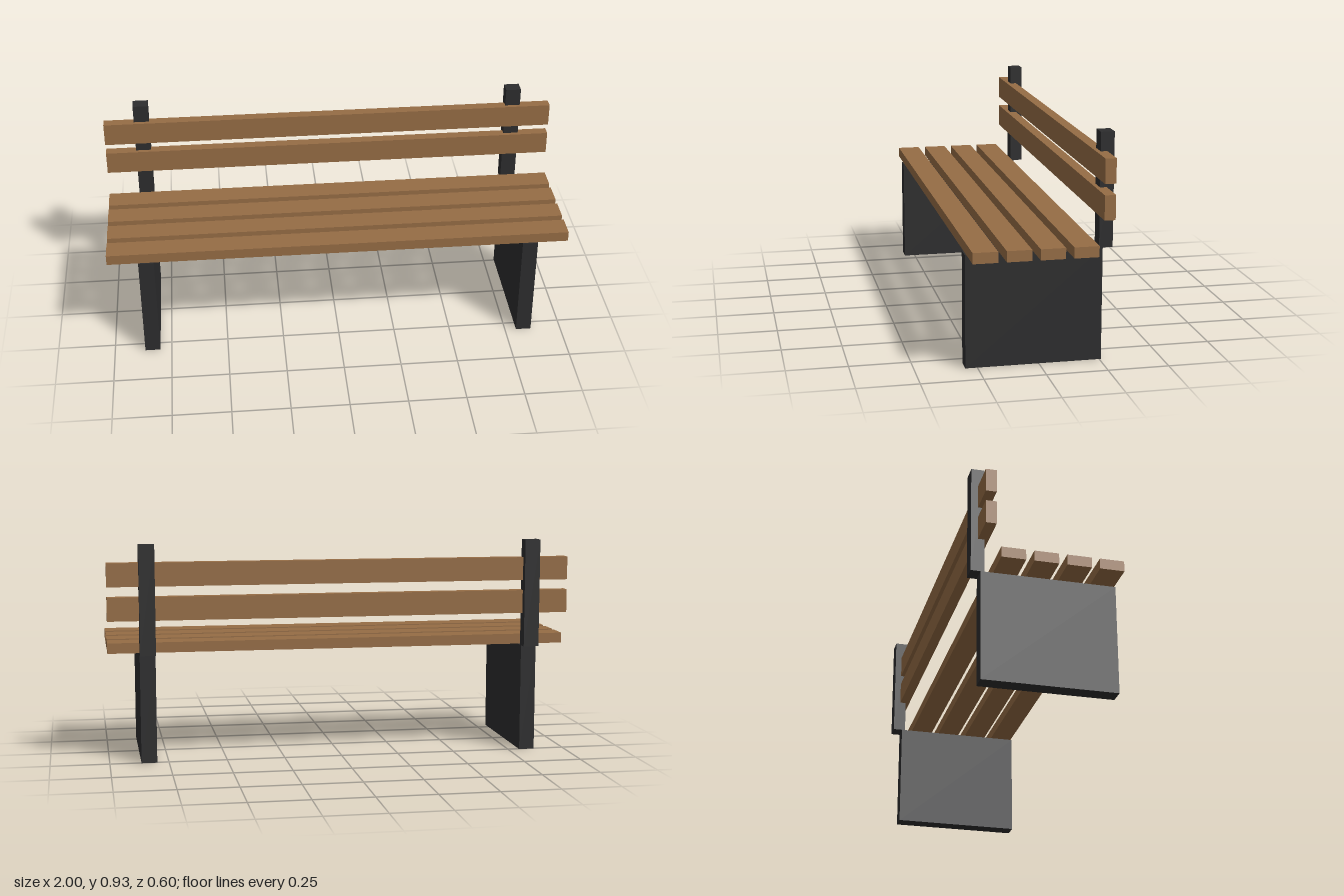
import * as THREE from 'three';

export function createModel() {
  const bench = new THREE.Group();
  bench.name = 'bench';

  const wood = new THREE.MeshStandardMaterial({ color: 0x966d45 });
  wood.name = 'wood';
  const iron = new THREE.MeshStandardMaterial({ color: 0x2d2d2e });
  iron.name = 'dark iron';

  function box(name, material, size, position) {
    const mesh = new THREE.Mesh(new THREE.BoxGeometry(...size), material);
    mesh.name = name;
    mesh.position.set(...position);
    bench.add(mesh);
  }

  const seatHeight = 0.4667;
  const slatWidth = 0.1;
  const slatThickness = 0.0444;

  // Solid side legs with a back post standing on each
  for (const [side, x] of [['left', 0.8333], ['right', -0.8333]]) {
    box(`${side}Leg`, iron, [0.0667, seatHeight, 0.5556], [x, seatHeight / 2, 0.021]);
    box(`${side}BackPost`, iron, [0.0667, seatHeight, 0.0556], [x, seatHeight * 1.5, -0.2695]);
  }

  // Four seat slats, front to back
  for (let i = 0; i < 4; i++) {
    box(`seatSlat${i + 1}`, wood, [2, slatThickness, slatWidth],
      [0, seatHeight + slatThickness / 2, 0.243 - i * 0.1333]);
  }

  // Two backrest slats, let into the front of the posts
  for (let i = 0; i < 2; i++) {
    box(`backSlat${i + 1}`, wood, [2, slatWidth, slatThickness],
      [0, 0.6615 + i * 0.1444, -0.2465]);
  }

  return bench;
}
